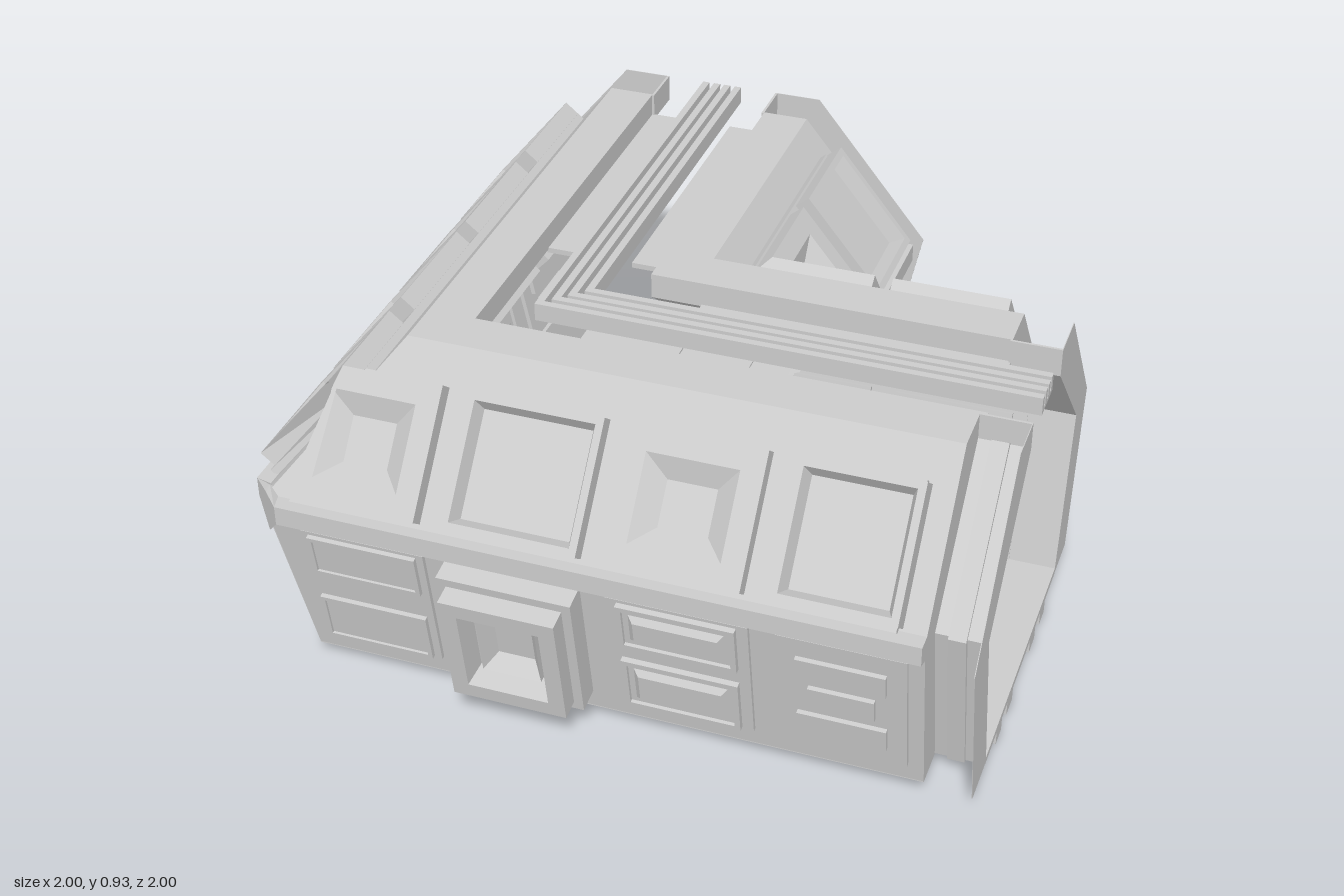
import * as THREE from 'three';
import { ConvexGeometry } from 'three/addons/geometries/ConvexGeometry.js';

const C = 0.275;          // centre line of one corridor arm
const V = (x, y, z) => new THREE.Vector3(x, y, z);
const mitre = z => Math.max(-z, z - 1.74);   // arm start: the diagonal, chamfered at the outer corner

export function createModel() {
  const model = new THREE.Group();
  model.name = 'corridorCorner';
  const material = new THREE.MeshStandardMaterial({
    color: 0xcccccc, flatShading: true, side: THREE.DoubleSide,
  });
  const sideArm = new THREE.Group(), backArm = new THREE.Group();
  sideArm.name = 'sideArm';
  backArm.name = 'backArm';
  model.add(sideArm, backArm);

  // Adds a part to the side arm and its reflection across the diagonal to the back arm
  function addBoth(name, source) {
    const geo = source.index ? source.toNonIndexed() : source;
    geo.computeVertexNormals();
    const copy = geo.clone();
    const from = geo.attributes.position, to = copy.attributes.position;
    for (let i = 0; i < from.count; i++) {
      const j = i % 3 === 0 ? i : i % 3 === 1 ? i + 1 : i - 1;   // keep faces outward
      to.setXYZ(i, -from.getZ(j), from.getY(j), -from.getX(j));
    }
    copy.computeVertexNormals();
    [[sideArm, geo], [backArm, copy]].forEach(([group, g]) => {
      const mesh = new THREE.Mesh(g, material);
      mesh.name = name;
      group.add(mesh);
    });
  }

  // Sweeps a [z, y] section along x; without a start it is mitred at the diagonal
  function sweep(name, pts, end, start) {
    const shape = new THREE.Shape(pts.map(([z, y]) => new THREE.Vector2(-z, y)));
    const geo = new THREE.ExtrudeGeometry(shape, { depth: 1, bevelEnabled: false });
    const p = geo.attributes.position;
    for (let i = 0; i < p.count; i++) {
      const z = -p.getX(i);
      p.setXYZ(i, p.getZ(i) < 0.5 ? start ?? mitre(z) : end, p.getY(i), z);
    }
    addBoth(name, geo);
  }
  const strip = (name, z0, z1, y0, y1, end, start) =>
    sweep(name, [[z0, y0], [z1, y0], [z1, y1], [z0, y1]], end, start);

  // A wall plane from its foot [z, y] to its head; dir is +1 facing +z, -1 facing -z
  function face(foot, head, dir) {
    const u = V(dir, 0, 0);
    const v = V(0, head[1] - foot[1], head[0] - foot[0]).normalize();
    return { u, v, n: u.clone().cross(v), foot: V(0, foot[1], foot[0]), dir };
  }

  // Stacks rectangles [inset, height] on a wall plane: frames, recesses and bars
  function tile(name, f, [x0, x1, y0, y1], steps) {
    const loops = steps.map(([inset, h]) => {
      const a = f.dir > 0 ? x0 + inset : -x1 + inset;
      const b = f.dir > 0 ? x1 - inset : -x0 - inset;
      const c = (y0 - f.foot.y) / f.v.y + inset, d = (y1 - f.foot.y) / f.v.y - inset;
      return [[a, c], [b, c], [b, d], [a, d]].map(([s, t]) => {
        const p = f.foot.clone().addScaledVector(f.u, s).addScaledVector(f.v, t).addScaledVector(f.n, h);
        p.x = Math.max(p.x, -p.z);                              // cut at the diagonal
        return p;
      });
    });
    const out = [];
    const quad = (a, b, c, d) => [a, b, c, a, c, d].forEach(p => out.push(p.x, p.y, p.z));
    for (let i = 0; i + 1 < loops.length; i++) {
      for (let k = 0; k < 4; k++) {
        const m = (k + 1) % 4;
        quad(loops[i][k], loops[i][m], loops[i + 1][m], loops[i + 1][k]);
      }
    }
    quad(...loops[loops.length - 1]);
    const geo = new THREE.BufferGeometry();
    geo.setAttribute('position', new THREE.Float32BufferAttribute(out, 3));
    addBoth(name, geo);
  }

  // Upper tiles: wide windows and small funnel-shaped recesses
  const upperWindow = (f, x0, x1, y0, y1, h) =>
    tile('upperWindow', f, [x0, x1, y0, y1], [[0, 0], [0, h], [0.02, h], [0.035, h * 0.4]]);
  const upperRecess = (f, x0, x1, y0, y1, h) =>
    tile('upperRecess', f, [x0, x1, y0, y1], [[0, 0], [0, h], [0.06, h], [0.115, h * 0.38]]);

  // Lower tiles: a thin backing with bars or framed slots
  const backing = (f, x0, x1) =>
    tile('wallPanel', f, [x0, x1, 0.1, 0.49], [[0, 0], [0, 0.012]]);
  function twoBars(f, x0, x1) {
    backing(f, x0, x1);
    [[0.11, 0.26], [0.35, 0.48]].forEach(([a, b]) =>
      tile('wallBar', f, [x0 + 0.02, x1 - 0.02, a, b], [[0, 0.01], [0, 0.025], [0.012, 0.025], [0.012, 0.018]]));
  }
  function twoSlots(f, x0, x1, inset = 0.03) {
    backing(f, x0, x1);
    [[0.11, 0.28], [0.33, 0.48]].forEach(([a, b]) =>
      tile('wallSlot', f, [x0 + inset, x1 - inset, a, b],
        [[0, 0.01], [0, 0.028], [0.015, 0.028], [0.015, 0.018], [0.03, 0.018], [0.045, 0.032]]));
  }
  function threeBars(f, x0, x1) {
    backing(f, x0, x1);
    [[0.16, 0.23, 0.05], [0.26, 0.33, 0.08], [0.36, 0.43, 0.05]].forEach(([a, b, e]) =>
      tile('wallBar', f, [x0 + e, x1 - e, a, b], [[0, 0.01], [0, 0.025]]));
  }
  const hatch = (f, h) => tile('steppedHatch', f, [-0.37, -0.01, 0.1, 0.49],
    [[0, 0], [0, h * 0.55], [0.025, h * 0.55], [0.025, h], [0.07, h], [0.08, h * 0.45],
      [0.1, h * 0.45], [0.1, h * 0.7], [0.13, h * 0.35]]);

  // Both side walls and the narrower sleeves at the open ends
  const side = (s, pts) => pts.map(([h, y]) => [C + s * h, y]);
  for (const s of [1, -1]) {
    sweep('sideWall', side(s, [[0.525, 0.043], [0.605, 0.5], [0.645, 0.515], [0.645, 0.57], [0.6, 0.57],
      [0.305, 0.93], [0.175, 0.93], [0.175, 0.86], [0.5, 0.515], [0.4, 0.043]]), 0.87);
    sweep('endSleeve', side(s, [[0.415, 0.043], [0.515, 0.515], [0.175, 0.86], [0.175, 0.93], [0.168, 0.93],
      [0.168, 0.852], [0.503, 0.515], [0.403, 0.043]]), 1, 0.865);
    sweep('sleeveBand', side(s, [[0.425, 0.043], [0.528, 0.515], [0.185, 0.87], [0.17, 0.86],
      [0.51, 0.515], [0.41, 0.043]]), 0.95, 0.905);
    // Thin flange plate closing off the end
    sweep('endFlange', side(s, [[0.545, 0.043], [0.645, 0.515], [0.305, 0.93], [0.175, 0.93],
      [0.175, 0.85], [0.508, 0.515], [0.408, 0.043]]), 1, 0.998);
    // Ledges beside the roof opening
    strip('roofLedge', C + s * 0.068, C + s * 0.178, 0.85, 0.865, 0.87, 0.04);
    // Beams below the floor and strips on it
    strip('floorBeam', C + s * 0.225, C + s * 0.285, 0, 0.045, 1);
    strip('floorBeam', C + s * 0.1, C + s * 0.165, 0, 0.045, 1);
    strip('floorStrip', C + s * 0.075, C + s * 0.158, 0.055, 0.066, 0.87, 0.04);
  }

  // Conduit bundle running along the open roof
  strip('conduitTray', C - 0.06, C + 0.06, 0.88, 0.893, 1);
  [-0.05, -0.016, 0.016, 0.05].forEach(d =>
    strip('conduit', C + d - 0.01, C + d + 0.01, 0.89, 0.93, 1));

  // Floor
  strip('floor', C - 0.525, C + 0.525, 0.04, 0.06, 0.87);
  strip('floorEnd', C - 0.41, C + 0.41, 0.04, 0.06, 1, 0.86);

  // Chamfer closing the outer corner
  const corner = [];
  [[0.87, 0.45], [0.92, 0.515], [0.92, 0.57], [0.875, 0.575], [0.86, 0.59]].forEach(([z, y]) => {
    corner.push(V(mitre(z), y, z), V(-z, y, -mitre(z)));
  });
  corner.push(V(-0.8, 0.53, 0.8));
  const cornerPost = new THREE.Mesh(new ConvexGeometry(corner), material);
  cornerPost.name = 'cornerPost';
  model.add(cornerPost);

  // Outer wall, outside
  const outLow = face([0.8, 0.043], [0.88, 0.5], 1);
  const outHigh = face([0.92, 0.515], [0.58, 0.93], 1);
  tile('upperCasing', outHigh, [-0.79, 0.8, 0.565, 0.85], [[0, 0], [0, 0.022]]);
  upperRecess(outHigh, -0.78, -0.43, 0.575, 0.845, 0.07);
  upperWindow(outHigh, -0.36, 0, 0.575, 0.845, 0.07);
  upperRecess(outHigh, 0.06, 0.42, 0.575, 0.845, 0.07);
  upperWindow(outHigh, 0.49, 0.81, 0.575, 0.845, 0.07);
  twoBars(outLow, -0.77, -0.43);
  hatch(outLow, 0.123);
  twoSlots(outLow, 0.06, 0.43);
  threeBars(outLow, 0.5, 0.83);

  // Inner wall, outside, mitred at the inner corner
  const inLow = face([C - 0.525, 0.043], [C - 0.605, 0.5], -1);
  const inHigh = face([-0.37, 0.515], [-0.03, 0.93], -1);
  tile('upperCasing', inHigh, [0.05, 0.8, 0.565, 0.85], [[0, 0], [0, 0.022]]);
  upperRecess(inHigh, 0.1, 0.44, 0.575, 0.845, 0.07);
  upperWindow(inHigh, 0.49, 0.81, 0.575, 0.845, 0.07);
  twoSlots(inLow, 0.2, 0.46, 0.02);
  threeBars(inLow, 0.5, 0.83);

  // Room side of the outer wall
  const roomLow = face([C + 0.4, 0.043], [C + 0.5, 0.515], -1);
  const roomHigh = face([C + 0.5, 0.515], [C + 0.175, 0.86], -1);
  upperRecess(roomHigh, -0.7, -0.42, 0.59, 0.83, 0.025);
  upperWindow(roomHigh, -0.36, 0, 0.59, 0.83, 0.025);
  upperRecess(roomHigh, 0.06, 0.42, 0.59, 0.83, 0.025);
  upperWindow(roomHigh, 0.49, 0.8, 0.59, 0.83, 0.025);
  twoBars(roomLow, -0.74, -0.43);
  hatch(roomLow, 0.05);
  twoSlots(roomLow, 0.06, 0.43);
  threeBars(roomLow, 0.5, 0.83);

  // Room side of the inner wall
  const backLow = face([C - 0.4, 0.043], [C - 0.5, 0.515], 1);
  const backHigh = face([C - 0.5, 0.515], [C - 0.175, 0.86], 1);
  upperRecess(backHigh, 0.12, 0.44, 0.59, 0.83, 0.025);
  upperWindow(backHigh, 0.49, 0.81, 0.59, 0.83, 0.025);
  twoSlots(backLow, 0.15, 0.43);
  threeBars(backLow, 0.5, 0.83);

  return model;
}
